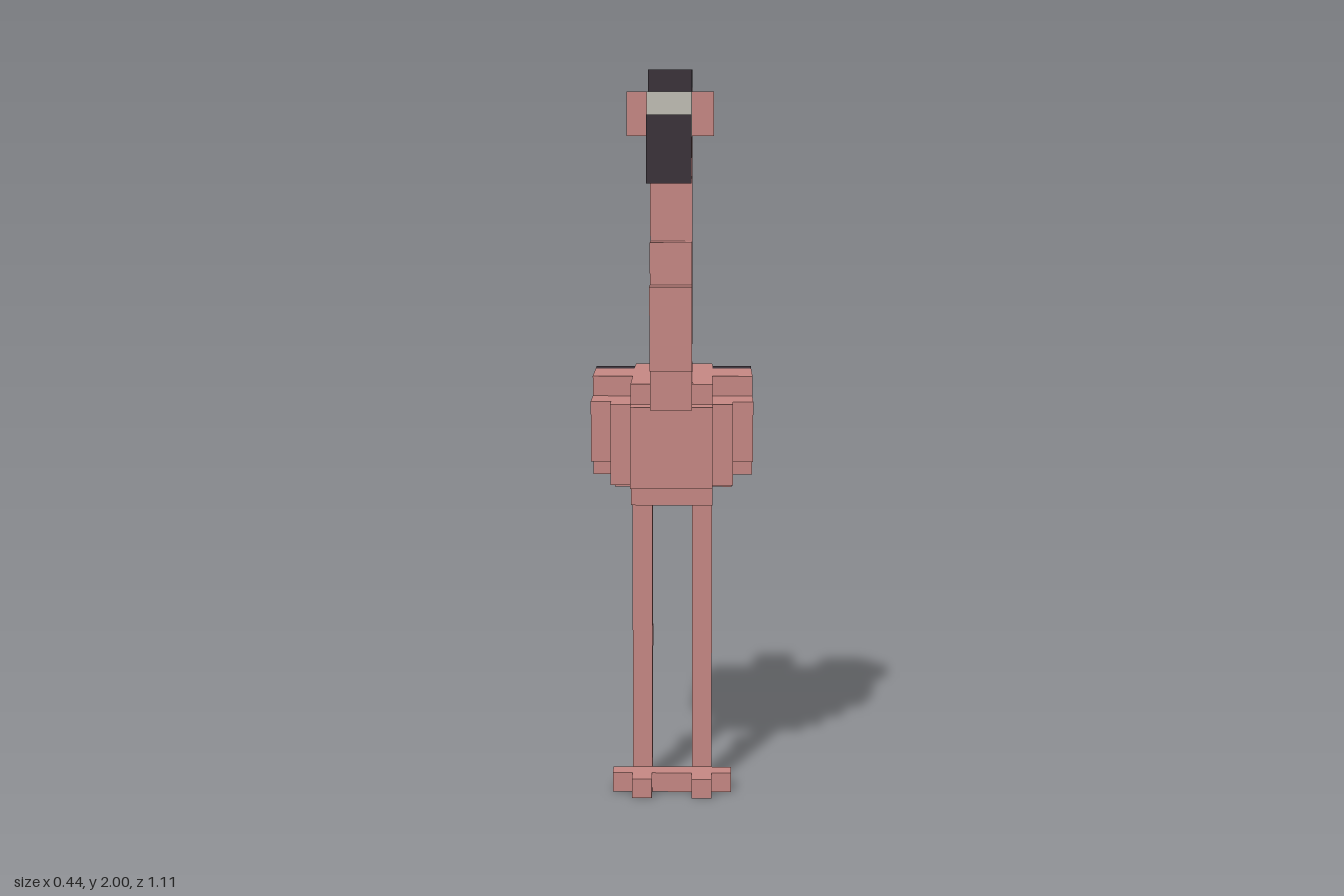
import * as THREE from 'three';

const U = 2 / 36; // one block

const flat = (name, color) => {
  const m = new THREE.MeshStandardMaterial({ color });
  m.name = name;
  return m;
};

export function createModel() {
  const pink = flat('pink', 0xc48682);
  const dark = flat('dark', 0x3a3239);
  const grey = flat('grey', 0xbebbb2);
  const model = new THREE.Group();
  model.name = 'wadingBird';

  // Box given by its lower and upper bounds, in blocks
  const block = (parent, name, mat, [x0, x1], [y0, y1], [z0, z1]) => {
    const geo = new THREE.BoxGeometry((x1 - x0) * U, (y1 - y0) * U, (z1 - z0) * U);
    const mesh = new THREE.Mesh(geo, mat);
    mesh.position.set((x0 + x1) / 2 * U, (y0 + y1) / 2 * U, (z0 + z1) / 2 * U);
    mesh.name = name;
    parent.add(mesh);
  };
  // Box centred on x = 0
  const mid = (parent, name, mat, half, y, z) => block(parent, name, mat, [-half, half], y, z);
  const group = (name) => {
    const g = new THREE.Group();
    g.name = name;
    model.add(g);
    return g;
  };

  // Body
  const body = group('body');
  mid(body, 'torso', pink, 2, [16, 20], [-7, 3]);
  mid(body, 'back', pink, 2, [20, 21], [-6, 2]);
  mid(body, 'shoulders', pink, 3, [16, 20], [-4, 2]);
  mid(body, 'belly', pink, 2, [15, 16], [-3, 2]);
  mid(body, 'rump', pink, 3, [15, 16], [-6, -3]);
  mid(body, 'tail', pink, 1, [18, 20], [-10, -7]);

  // Wings and legs, mirrored left and right
  for (const [side, s] of [['left', 1], ['right', -1]]) {
    const span = (a, b) => (s > 0 ? [a, b] : [-b, -a]);

    const wing = group(side + 'Wing');
    block(wing, 'wingFront', pink, span(2, 4), [17, 20], [-1, 1]);
    block(wing, 'wingMiddle', pink, span(2, 4), [16, 21], [-4, -1]);
    block(wing, 'wingFeathers', dark, span(2, 4), [16, 21], [-5, -4]);
    block(wing, 'wingTip', dark, span(2, 4), [17, 20], [-7, -5]);

    const leg = group(side + 'Leg');
    block(leg, 'shank', pink, span(1, 2), [0, 15], [-1, 0]);
    block(leg, 'knee', pink, span(1, 2), [7, 8], [-2, -1]);
    block(leg, 'sideToes', pink, span(0, 3), [0, 1], [0, 1]);
    block(leg, 'frontToe', pink, span(1, 2), [0, 1], [1, 2]);
  }

  // Curved neck: height range, depth range
  const neck = group('neck');
  [
    [[20, 22], [1, 4]],
    [[22, 26], [2, 5]],
    [[26, 28], [1, 4]],
    [[28, 31], [1, 3]],
    [[31, 33], [1, 4]],
    [[33, 34], [2, 4]],
  ].forEach(([y, z], i) => mid(neck, 'neck' + (i + 1), pink, 1, y, z));

  // Head and hooked beak
  const head = group('head');
  mid(head, 'skull', pink, 1, [32, 35], [3, 6]);
  mid(head, 'cheeks', pink, 2, [33, 35], [4, 6]);
  mid(head, 'crown', pink, 1, [35, 36], [4, 5]);
  mid(head, 'brow', dark, 1, [35, 36], [5, 6]);
  mid(head, 'beakBase', pink, 1, [33, 35], [6, 7]);
  mid(head, 'beak', grey, 1, [33, 35], [7, 9]);
  mid(head, 'beakTip', dark, 1, [31, 34], [9, 10]);

  return model;
}
